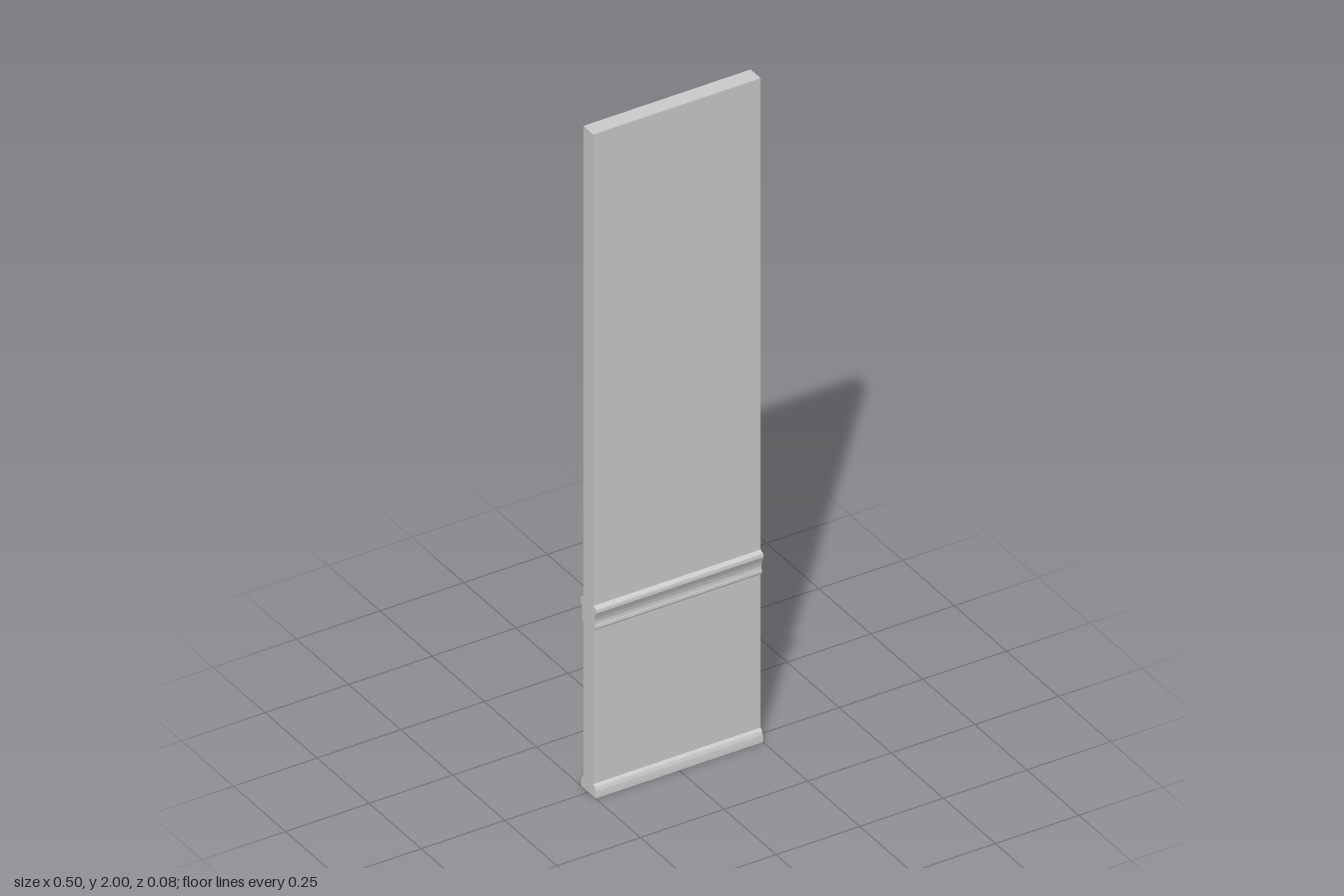
import * as THREE from 'three';
import { toCreasedNormals } from 'three/addons/utils/BufferGeometryUtils.js';

const WIDTH = 0.5, HALF = 0.024, HEIGHT = 2;
const material = new THREE.MeshStandardMaterial({ color: 0xcccccc });

// Extrudes a (z, y) cross-section along the width of the wall
function moulding(name, shape) {
  let geometry = new THREE.ExtrudeGeometry(shape, { depth: WIDTH, bevelEnabled: false, curveSegments: 8 });
  geometry.translate(0, 0, -WIDTH / 2);
  geometry.rotateY(-Math.PI / 2);
  geometry = toCreasedNormals(geometry, 0.6);
  const mesh = new THREE.Mesh(geometry, material);
  mesh.name = name;
  return mesh;
}

// Chair rail: small bead below, cove flaring to a rounded lip above
function railShape() {
  const s = new THREE.Shape();
  s.moveTo(HALF, 0.505);
  s.lineTo(0.029, 0.505);
  s.quadraticCurveTo(0.033, 0.511, 0.03, 0.518);
  s.quadraticCurveTo(0.027, 0.524, 0.029, 0.532);
  s.quadraticCurveTo(0.031, 0.548, 0.037, 0.556);
  s.quadraticCurveTo(0.0395, 0.563, 0.037, 0.569);
  s.lineTo(0.034, 0.572);
  s.quadraticCurveTo(0.028, 0.574, HALF, 0.576);
  s.closePath();
  return s;
}

// Baseboard: upright foot with a curved top
function baseShape() {
  const s = new THREE.Shape();
  s.moveTo(HALF, 0);
  s.lineTo(0.035, 0);
  s.lineTo(0.035, 0.014);
  s.quadraticCurveTo(0.034, 0.026, 0.029, 0.033);
  s.lineTo(HALF, 0.038);
  s.closePath();
  return s;
}

export function createModel() {
  const model = new THREE.Group();
  model.name = 'wallPanel';

  const wall = new THREE.Mesh(new THREE.BoxGeometry(WIDTH, HEIGHT, HALF * 2), material);
  wall.name = 'wall';
  wall.position.y = HEIGHT / 2;
  model.add(wall);

  // Same trim on the front and the back
  for (const [side, angle] of [['front', 0], ['back', Math.PI]]) {
    const trim = new THREE.Group();
    trim.name = side + 'Trim';
    trim.add(moulding(side + 'ChairRail', railShape()), moulding(side + 'Baseboard', baseShape()));
    trim.rotation.y = angle;
    model.add(trim);
  }
  return model;
}
